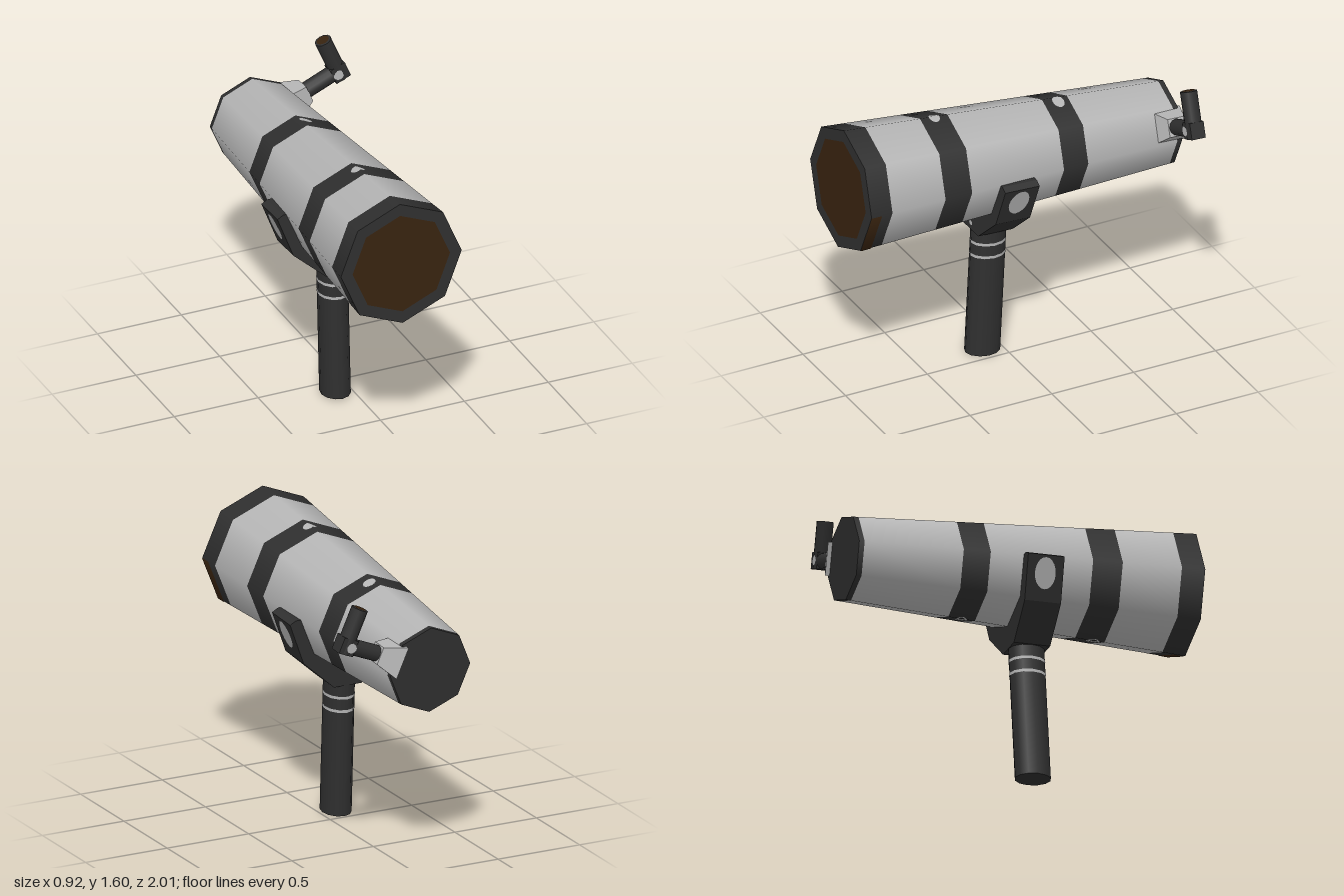
import * as THREE from 'three';

const make = (name, hex, side = THREE.FrontSide) => {
  const m = new THREE.MeshStandardMaterial({ color: hex });
  m.name = name;
  m.side = side;
  return m;
};

export function createModel() {
  const dark = make('charcoal', 0x2f2f2f);
  const light = make('lightGrey', 0xb6b6b6);
  const brown = make('darkBrown', 0x38230f);

  const model = new THREE.Group();
  model.name = 'telescope';
  // everything leans back slightly, around the middle of the tube axis
  const body = new THREE.Group();
  body.name = 'tiltedBody';
  body.position.set(-0.095, 1.196, 0);
  body.rotation.x = -0.05;
  model.add(body);

  const add = (name, geo, mat, parent = body) => {
    const mesh = new THREE.Mesh(geo, mat);
    mesh.name = name;
    parent.add(mesh);
    return mesh;
  };

  // eight-sided tapered tube, cut into light and dark sections along z
  const radius = z => 0.3025 + 0.0587 * z;
  const section = (z0, z1, grow = 0, segs = 8, arc = Math.PI * 2) =>
    new THREE.CylinderGeometry(radius(z1) + grow, radius(z0) + grow, z1 - z0, segs, 1, true, 0, arc)
      .rotateX(Math.PI / 2)
      .translate(0, 0, (z0 + z1) / 2);
  const cuts = [-0.98, -0.95, -0.388, -0.235, 0.345, 0.513, 0.848, 0.98];
  const names = ['rearRim', 'rearTube', 'rearBand', 'middleTube', 'frontBand', 'frontTube', 'frontRim'];
  names.forEach((name, i) => add(name, section(cuts[i], cuts[i + 1]), i % 2 ? light : dark));
  add('rearCap', new THREE.CircleGeometry(radius(-0.98), 8).rotateY(Math.PI).translate(0, 0, -0.98), dark);
  add('frontRing', new THREE.RingGeometry(0.29, radius(0.98), 8).translate(0, 0, 0.98), dark);
  add('lens', new THREE.CircleGeometry(0.29, 8).translate(0, 0, 0.98), brown);
  add('rimPatch', section(0.915, 0.98, 0.003, 2, Math.PI / 2), brown);

  // band bolts: thin discs folded over the top and bottom ridges of the tube
  const bolt = (x, z, rx, rz, up) => {
    const geo = new THREE.CircleGeometry(1, 16).rotateX(-Math.PI / 2).scale(rx, 1, rz).translate(x, 0, z);
    const p = geo.attributes.position;
    for (let i = 0; i < p.count; i++) {
      p.setY(i, radius(p.getZ(i)) + 0.005 - Math.abs(p.getX(i)) * Math.tan(Math.PI / 8));
    }
    if (!up) {
      geo.rotateZ(Math.PI);
    }
    geo.computeVertexNormals();
    add('bandBolt', geo, light);
  };
  bolt(0, 0.43, 0.042, 0.033, true);
  bolt(0.032, -0.32, 0.038, 0.034, true);
  bolt(-0.03, 0.45, 0.05, 0.048, false);
  bolt(-0.03, -0.31, 0.05, 0.04, false);

  // cradle under the tube
  const half = [[0.085, -0.43], [0.275, -0.26], [0.365, -0.02], [0.33, 0]];
  const inner = [[0.28, 0], [0.2, -0.2], [0, -0.27]];
  const right = [...half, ...inner];
  const left = right.slice(0, -1).reverse().map(([x, y]) => [-x, y]);
  const outline = new THREE.Shape([...right, ...left].map(([x, y]) => new THREE.Vector2(x, y)));
  add('cradle', new THREE.ExtrudeGeometry(outline, { depth: 0.21, bevelEnabled: false }), dark)
    .position.z = -0.047;
  add('cradleBolt', new THREE.CircleGeometry(1, 12).scale(0.018, 0.013, 1), light)
    .position.set(0, -0.388, 0.166);
  for (const s of [1, -1]) {
    const knob = new THREE.CircleGeometry(1, 20).scale(0.06, 0.088, 1)
      .rotateY(s * Math.PI / 2).rotateZ(-s * 0.359);
    add(s > 0 ? 'leftKnob' : 'rightKnob', knob, light).position.set(s * 0.333, -0.116, 0.058);
  }

  // oval post with two pale rings
  const post = new THREE.Group();
  post.name = 'post';
  post.position.z = 0.056;
  post.scale.z = 1.25;
  body.add(post);
  add('postShaft', new THREE.CylinderGeometry(0.082, 0.082, 0.795, 12), dark, post).position.y = -0.7975;
  for (const y of [-0.505, -0.583]) {
    add('postRing', new THREE.CylinderGeometry(0.0835, 0.0835, 0.016, 12, 1, true), light, post).position.y = y;
  }

  // eyepiece: local y points outward from the tube, local -x points up
  const eye = new THREE.Group();
  eye.name = 'eyepiece';
  eye.position.z = -0.914;
  eye.rotation.z = -Math.PI * 3 / 8;
  body.add(eye);
  const base = new THREE.CylinderGeometry(0.05 * Math.SQRT2, 0.092 * Math.SQRT2, 0.125, 4)
    .rotateY(Math.PI / 4).toNonIndexed();
  base.computeVertexNormals();
  add('focuserBase', base, light, eye).position.y = 0.2625;
  add('focuserArm', new THREE.CylinderGeometry(0.046, 0.046, 0.28, 12), dark, eye).position.y = 0.39;
  add('elbow', new THREE.BoxGeometry(0.092, 0.092, 0.084), dark, eye).position.y = 0.532;
  add('eyeTube', new THREE.CylinderGeometry(0.047, 0.047, 0.262, 12).rotateZ(Math.PI / 2), dark, eye)
    .position.set(-0.085, 0.531, 0);
  add('eyeLens', new THREE.CircleGeometry(0.036, 12).rotateY(-Math.PI / 2), brown, eye)
    .position.set(-0.219, 0.531, 0);
  for (const s of [1, -1]) {
    const screw = new THREE.CircleGeometry(0.03, 12);
    if (s < 0) screw.rotateY(Math.PI);
    add('elbowScrew', screw, light, eye).position.set(0, 0.515, s * 0.05);
  }

  return model;
}
